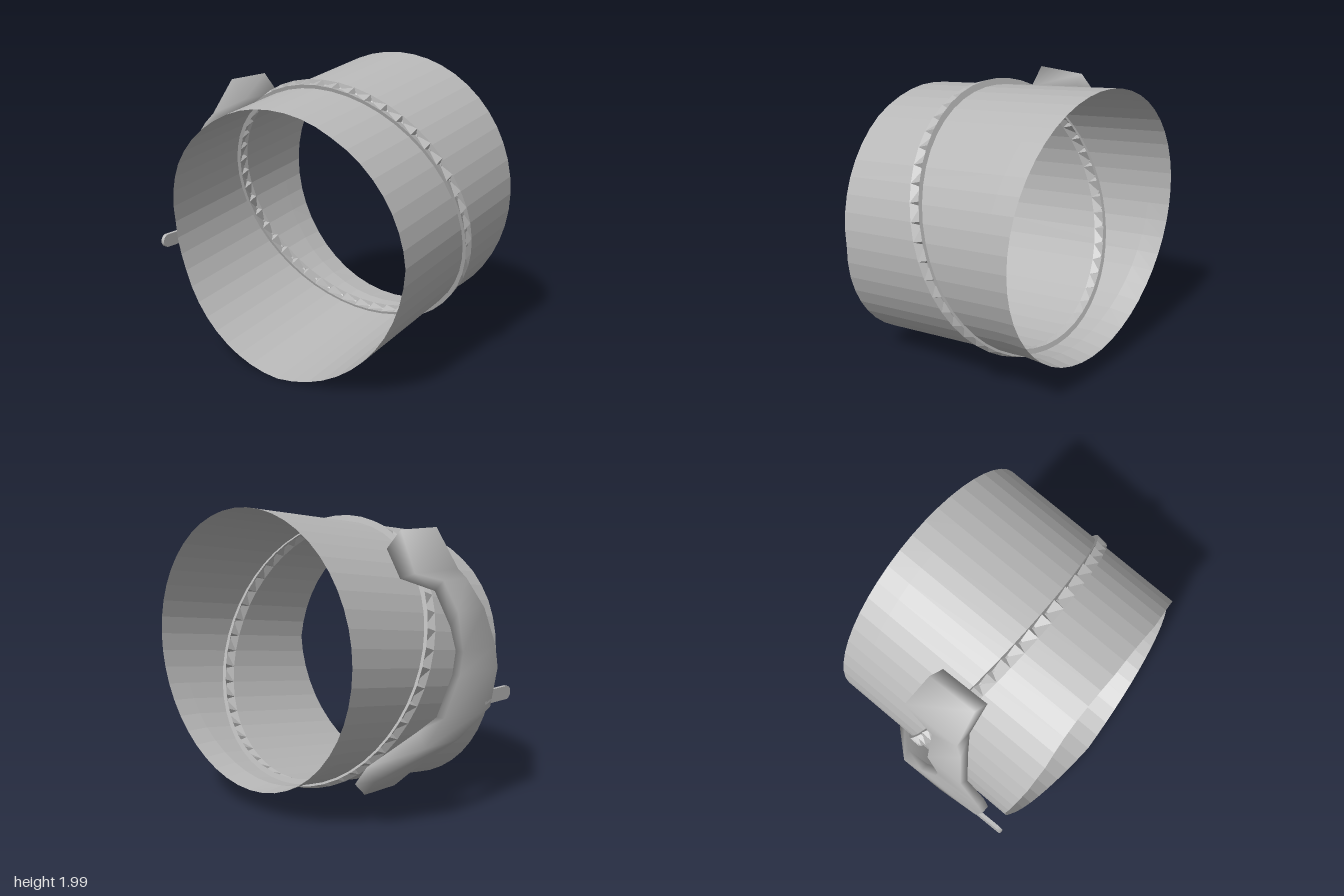
import * as THREE from 'three';

const metal = new THREE.MeshStandardMaterial({ color: 0xb8b8b8, side: THREE.DoubleSide });
metal.name = 'grey metal';

// Surface through a row of cross-sections (arrays of [x, y, z]).
function loft(sections, { closedRows = false, closedSection = false, caps = false, flat = false } = {}) {
  const n = sections[0].length, m = sections.length, index = [];
  for (let i = 0; i < (closedRows ? m : m - 1); i++) {
    const r = i * n, s = ((i + 1) % m) * n;
    for (let j = 0; j < (closedSection ? n : n - 1); j++) {
      const k = (j + 1) % n;
      index.push(r + j, s + j, r + k, r + k, s + j, s + k);
    }
  }
  if (caps) {
    const e = (m - 1) * n;
    index.push(0, 1, 2, 0, 2, 3, e, e + 2, e + 1, e, e + 3, e + 2);
  }
  let g = new THREE.BufferGeometry();
  g.setAttribute('position', new THREE.Float32BufferAttribute(sections.flat(2), 3));
  g.setIndex(index);
  if (flat) g = g.toNonIndexed();
  g.computeVertexNormals();
  return g;
}

function addMesh(parent, name, geometry) {
  const mesh = new THREE.Mesh(geometry, metal);
  mesh.name = name;
  parent.add(mesh);
  return mesh;
}

// Open, tilted tube with a wavy front rim.
function tubeGeometry() {
  const rim = [[0, 0.6], [30, 0.66], [60, 0.72], [90, 0.738], [116, 0.728], [135, 0.737], [150, 0.72],
    [170, 0.67], [180, 0.64], [200, 0.625], [270, 0.69], [330, 0.63], [360, 0.6]];
  const frontZ = (deg) => {
    const i = Math.max(1, rim.findIndex((p) => p[0] >= deg));
    const [a, b] = [rim[i - 1], rim[i]];
    return THREE.MathUtils.mapLinear(deg, a[0], b[0], a[1], b[1]);
  };
  const rows = [], N = 48;
  for (let i = 0; i < N; i++) {
    const t = (i / N) * Math.PI * 2, s = Math.sin(t);
    const point = (z, drop = 0) => [0.035 + 0.915 * Math.cos(t), 1.003 + 0.897 * s - 0.136 * z - drop, z];
    const sag = 0.035 * Math.max(0, -s) ** 2;
    rows.push([point(-0.74, sag), point(-0.57), point(frontZ((i / N) * 360))]);
  }
  return loft(rows, { closedRows: true, flat: true });
}

// Ring of small slanted notches, cut into both its outer and inner face.
function bandGeometry() {
  const N = 48, half = 0.04, outer = 0.938, inner = 0.888, pos = [];
  const at = (i, r, z) => {
    const t = (i / N) * Math.PI * 2;
    return [r * Math.cos(t), r * Math.sin(t), z];
  };
  const tri = (...p) => pos.push(...p.flat());
  const notches = (i, r, apexR, out) => {
    const corners = [at(i, r, -half), at(i + 1, r, -half), at(i + 1, r, half), at(i, r, half)];
    const apex = at(i + 0.8, apexR, -half * 0.6);
    corners.forEach((c, k) => {
      const d = corners[(k + 1) % 4];
      out ? tri(c, d, apex) : tri(d, c, apex);
    });
  };
  for (let i = 0; i < N; i++) {
    notches(i, outer, 0.905, true);
    notches(i, inner, 0.915, false);
    const [a, b, c, d] = [at(i, inner, half), at(i, outer, half), at(i + 1, outer, half), at(i + 1, inner, half)];
    const back = (p) => [p[0], p[1], -half];
    tri(a, b, c); tri(a, c, d);
    tri(back(a), back(c), back(b)); tri(back(a), back(d), back(c));
  }
  const g = new THREE.BufferGeometry();
  g.setAttribute('position', new THREE.Float32BufferAttribute(pos, 3));
  g.computeVertexNormals();
  return g;
}

// Bent lever: outer x, y, inner x, y, then z from and to, top to bottom.
function claspGeometry() {
  const stations = [
    [-0.68, 1.865, -0.565, 1.74, -0.1, 0.25],
    [-0.86, 1.61, -0.74, 1.57, -0.17, 0.25],
    [-0.89, 1.55, -0.82, 1.48, 0.07, 0.3],
    [-0.985, 1.36, -0.925, 1.26, 0.1, 0.37],
    [-0.985, 1.1, -0.925, 1.1, 0.16, 0.5],
    [-0.985, 0.95, -0.925, 0.95, 0.13, 0.53],
    [-0.985, 0.7, -0.925, 0.7, -0.02, 0.46],
    [-0.985, 0.54, -0.925, 0.64, -0.2, 0.13],
    [-0.79, 0.34, -0.72, 0.42, -0.44, -0.08],
    [-0.685, 0.23, -0.6, 0.28, -0.42, -0.14],
  ];
  const rows = stations.map(([ox, oy, ix, iy, z0, z1]) =>
    [[ox, oy, z0], [ox, oy, z1], [ix, iy, z1], [ix, iy, z0]]);
  return loft(rows, { closedSection: true, caps: true });
}

// Thin finger tab with a round tip.
function tabGeometry() {
  const s = new THREE.Shape();
  s.moveTo(0.4, 0.72);
  s.lineTo(0.635, 0.72);
  s.absarc(0.635, 0.765, 0.045, -Math.PI / 2, Math.PI / 2, false);
  s.lineTo(0.4, 0.81);
  const g = new THREE.ExtrudeGeometry(s, { depth: 0.025, bevelEnabled: false, curveSegments: 8 });
  g.rotateY(-Math.PI / 2);
  g.translate(-0.96, 0, 0);
  return g;
}

export function createModel() {
  const model = new THREE.Group();
  model.name = 'clampedTube';
  addMesh(model, 'tube', tubeGeometry());

  const band = addMesh(model, 'notchedBand', bandGeometry());
  band.position.set(0.035, 1.022, -0.1);
  band.rotation.x = THREE.MathUtils.degToRad(19.9);

  const clasp = new THREE.Group();
  clasp.name = 'clasp';
  addMesh(clasp, 'claspLever', claspGeometry());
  addMesh(clasp, 'fingerTab', tabGeometry());
  model.add(clasp);
  return model;
}
